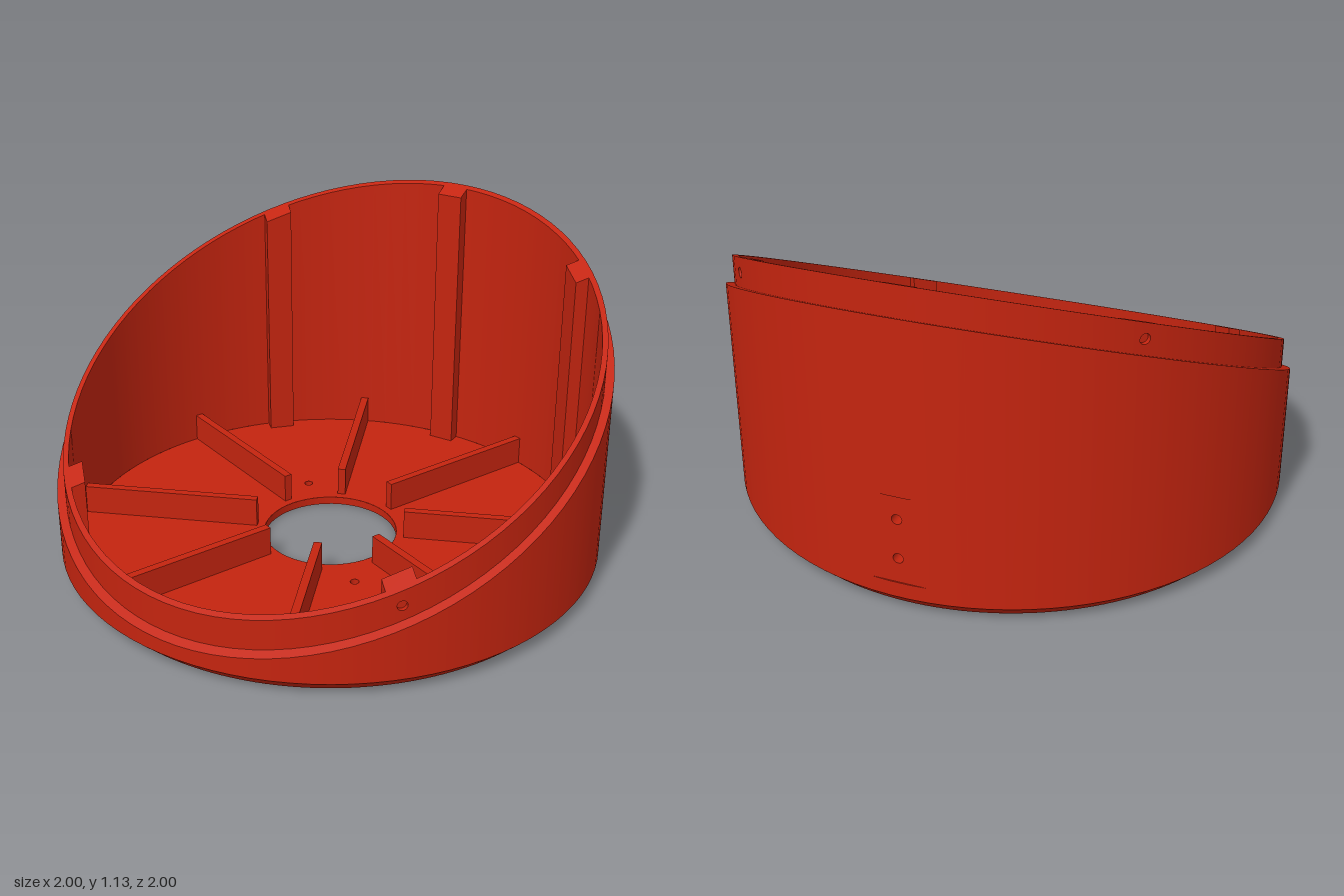
import * as THREE from 'three';
import { mergeGeometries } from 'three/addons/utils/BufferGeometryUtils.js';

const N = 96, STEP = (Math.PI * 2) / N;
const R_OUT = 1, R_LIP = 0.97, R_IN = 0.95;
const FLOOR = 0.03, CHAMFER = 0.055, FLAT_Z = -Math.cos(1.5 * STEP);
const FLAT_LOW = 0.11, FLAT_HIGH = 0.43;

// Slanted cutting planes: shoulder and lip top
const shoulderY = (z) => 0.575 - 0.465 * z;
const lipY = (z) => 0.685 - 0.464 * z;

export function createModel() {
  const group = new THREE.Group();
  const red = new THREE.MeshStandardMaterial({ color: 0xc4240f, side: THREE.DoubleSide });
  red.name = 'red';
  const add = (name, geometry) => {
    const mesh = new THREE.Mesh(geometry, red);
    mesh.name = name;
    group.add(mesh);
    return mesh;
  };

  // One narrow column of a curved wall, with optional round holes at its middle
  function column(radius, i, low, high, holes = [], flat = false) {
    const a = (i - 0.5) * STEP, b = (i + 0.5) * STEP;
    const y = (f, t) => f(radius * Math.cos(t));
    const shape = new THREE.Shape([
      new THREE.Vector2(a * radius, y(low, a)), new THREE.Vector2(b * radius, y(low, b)),
      new THREE.Vector2(b * radius, y(high, b)), new THREE.Vector2(a * radius, y(high, a)),
    ]);
    for (const h of holes) {
      shape.holes.push(new THREE.Path().absarc(i * STEP * radius, h, 0.018, 0, Math.PI * 2, true));
    }
    const g = new THREE.ShapeGeometry(shape, 8);
    const p = g.attributes.position, n = g.attributes.normal;
    for (let k = 0; k < p.count; k++) {
      const t = p.getX(k) / radius;
      p.setXYZ(k, radius * Math.sin(t), p.getY(k), flat ? FLAT_Z : radius * Math.cos(t));
      if (flat) n.setXYZ(k, 0, 0, -1);
      else n.setXYZ(k, Math.sin(t), 0, Math.cos(t));
    }
    return g;
  }

  // Flat sloping ring between two radii
  function slopedRing(inner, outer, plane) {
    const g = new THREE.RingGeometry(inner, outer, N, 1, STEP / 2).rotateX(-Math.PI / 2);
    const p = g.attributes.position;
    for (let k = 0; k < p.count; k++) p.setY(k, plane(p.getZ(k)));
    g.computeVertexNormals();
    return g;
  }

  // Walls
  const isDiagonal = (i) => i % 24 === 12;
  const screwY = (i) => lipY(R_LIP * Math.cos(i * STEP)) - 0.055;
  const outer = [], lip = [], inner = [];
  for (let i = 0; i < N; i++) {
    if (Math.abs(i - N / 2) <= 1) {
      outer.push(column(R_OUT, i, () => CHAMFER, () => FLAT_LOW));
      outer.push(column(R_OUT, i, () => FLAT_LOW, () => FLAT_HIGH, i === N / 2 ? [0.2, 0.345] : [], true));
      outer.push(column(R_OUT, i, () => FLAT_HIGH, shoulderY));
    } else {
      outer.push(column(R_OUT, i, () => CHAMFER, shoulderY));
    }
    lip.push(column(R_LIP, i, shoulderY, lipY, isDiagonal(i) ? [screwY(i)] : []));
    inner.push(column(R_IN, i, () => FLOOR, lipY));
  }
  add('outerWall', mergeGeometries(outer));
  add('lipWall', mergeGeometries(lip));
  add('innerWall', mergeGeometries(inner));
  add('shoulder', slopedRing(R_LIP, R_OUT, shoulderY));
  add('lipTop', slopedRing(R_IN, R_LIP, lipY));
  add('bottomChamfer', new THREE.CylinderGeometry(1, 0.945, CHAMFER, N, 1, true, STEP / 2)
    .translate(0, CHAMFER / 2, 0));

  // Thin ledges closing the flat pad on the back
  const segment = new THREE.Shape();
  for (let k = 0; k < 4; k++) {
    const t = Math.PI + (k - 1.5) * STEP;
    segment[k ? 'lineTo' : 'moveTo'](Math.sin(t), -Math.cos(t));
  }
  for (const y of [FLAT_LOW, FLAT_HIGH]) {
    add('backPadLedge', new THREE.ShapeGeometry(segment).rotateX(-Math.PI / 2).translate(0, y, 0));
  }

  // Floor plates with the central opening and four small holes
  const drill = [[0, 0, 0.25]];
  for (const x of [-0.265, 0.265]) for (const z of [-0.265, 0.265]) drill.push([x, z, 0.016]);
  for (const [name, radius, y, turn] of [['floorTop', R_IN, FLOOR, -1], ['floorBottom', 0.945, 0, 1]]) {
    const disc = new THREE.Shape().absarc(0, 0, radius, 0, Math.PI * 2);
    for (const [x, z, r] of drill) disc.holes.push(new THREE.Path().absarc(x, z, r, 0, Math.PI * 2, true));
    add(name, new THREE.ShapeGeometry(disc, 48).rotateX(turn * Math.PI / 2).translate(0, y, 0));
  }
  for (const [x, z, r] of drill) {
    add('floorHoleWall', new THREE.CylinderGeometry(r, r, FLOOR, r > 0.1 ? 48 : 16, 1, true)
      .translate(x, FLOOR / 2, z));
  }

  // Radial floor ribs
  for (let k = 0; k < 8; k++) {
    add('floorRib', new THREE.BoxGeometry(0.03, 0.11, 0.675).translate(0, FLOOR + 0.055, 0.6175)
      .rotateY((k + 0.5) * Math.PI / 4));
  }

  // Inner posts, cut off along the lip slope
  for (const eighth of [1, 3, 4, 5, 7]) {
    const g = new THREE.BoxGeometry(0.1, 1, 0.055).translate(0, 0, 0.9275).rotateY(eighth * Math.PI / 4);
    const p = g.attributes.position;
    for (let k = 0; k < p.count; k++) p.setY(k, p.getY(k) > 0 ? lipY(p.getZ(k)) : FLOOR);
    g.computeVertexNormals();
    add('innerPost', g);
  }

  // Blind screw holes
  function screwHole(angle, radius, y, depth) {
    const tube = new THREE.CylinderGeometry(0.018, 0.018, depth, 16, 1, true).rotateX(Math.PI / 2)
      .translate(0, y, radius - depth / 2).rotateY(angle);
    const end = new THREE.CircleGeometry(0.018, 16).translate(0, y, radius - depth).rotateY(angle);
    add('screwHole', mergeGeometries([tube, end]));
  }
  for (const i of [12, 36, 60, 84]) screwHole(i * STEP, R_LIP, screwY(i), 0.06);
  for (const y of [0.2, 0.345]) screwHole(Math.PI, -FLAT_Z, y, 0.085);

  return group;
}
